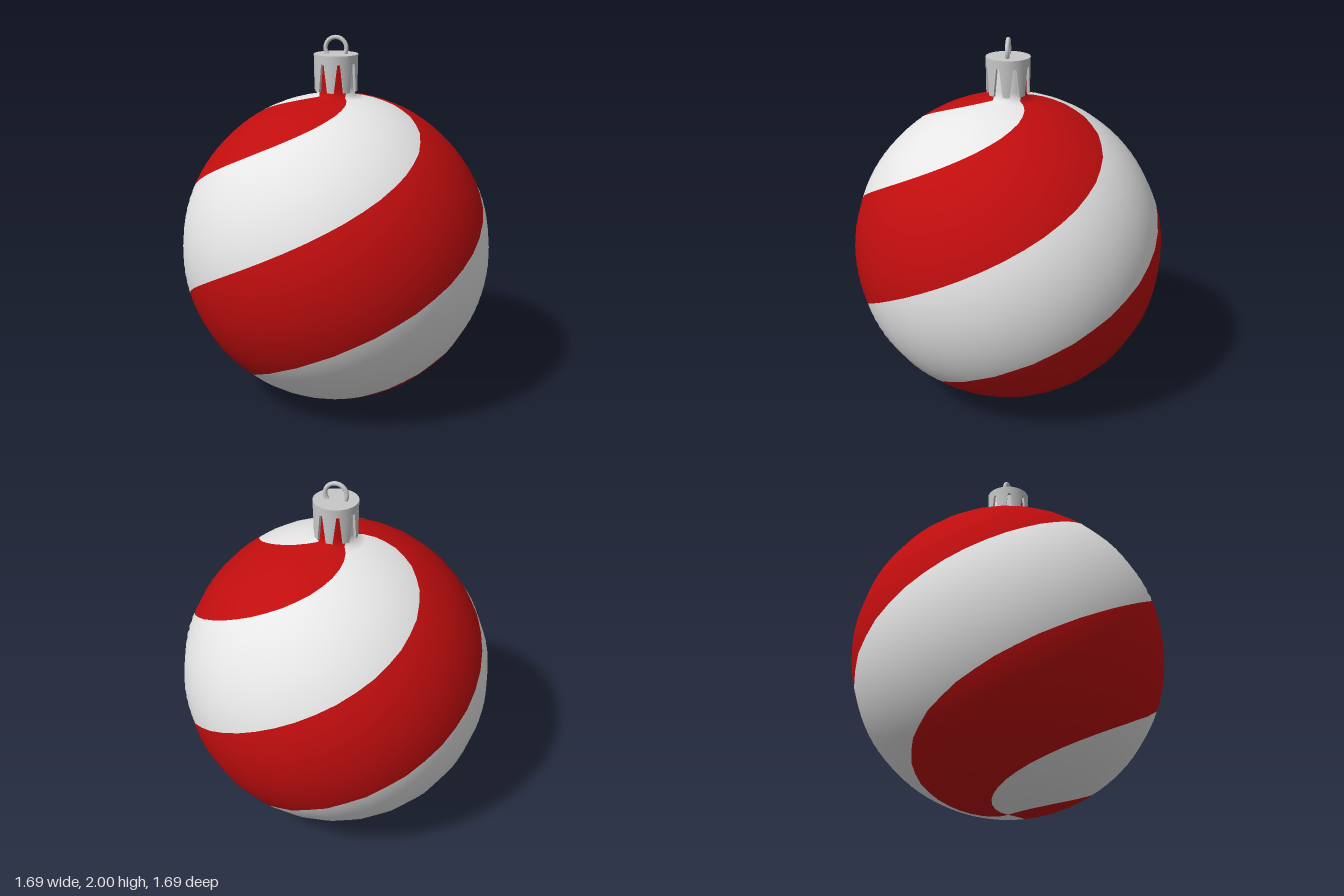
import * as THREE from 'three';

const R = 0.845;          // ball radius, also its centre height
const NECK_R = 0.1;
const SEG = Math.PI / 12; // the ball is a smooth-shaded 24-gon in plan
const rad = THREE.MathUtils.degToRad;

// Rows from the neck top down to the bottom pole: radius, height, twist and normal tilt
function ballRows() {
  const t0 = Math.asin(NECK_R / R), rows = [];
  const yJoin = R + R * Math.cos(t0);
  rows.push({ r: NECK_R, y: 1.88, twist: 0, nr: 1, ny: 0 });
  rows.push({ r: NECK_R, y: yJoin + 0.05, twist: t0, nr: 1, ny: 0 });
  rows.push({ r: NECK_R, y: yJoin, twist: 2 * t0, nr: 0.7, ny: 0.7 });
  const n = 48;
  for (let i = 1; i <= n; i++) {
    const t = t0 + (Math.PI - t0) * i / n;
    const s = Math.sin(t), c = Math.cos(t);
    rows.push({ r: R * s, y: R + R * c, twist: 2 * t, nr: s, ny: c });
  }
  return rows;
}

// One quarter-turn spiral stripe of the ball, starting at angle `start`
function stripeGeometry(start) {
  const cols = 24, pos = [], nor = [], idx = [];
  const rows = ballRows();
  rows.forEach((row, i) => {
    for (let j = 0; j <= cols; j++) {
      const a = start + row.twist + (Math.PI / 2) * j / cols;
      const off = a - (Math.floor(a / SEG) + 0.5) * SEG;
      const r = row.r * Math.cos(SEG / 2) / Math.cos(off);
      pos.push(r * Math.cos(a), row.y, r * Math.sin(a));
      nor.push(row.nr * Math.cos(a), row.ny, row.nr * Math.sin(a));
      if (i < rows.length - 1 && j < cols) {
        const p = i * (cols + 1) + j, q = p + cols + 1;
        idx.push(p, p + 1, q, q, p + 1, q + 1);
      }
    }
  });
  const g = new THREE.BufferGeometry();
  g.setAttribute('position', new THREE.Float32BufferAttribute(pos, 3));
  g.setAttribute('normal', new THREE.Float32BufferAttribute(nor, 3));
  g.setIndex(idx);
  g.normalizeNormals();
  return g;
}

// A cap tooth: a box bent around the y axis and tapered downward, centred on +z
function toothGeometry(yTop, yBottom) {
  const g = new THREE.BoxGeometry(1, 1, 1, 6, 1, 1);
  const p = g.attributes.position;
  for (let i = 0; i < p.count; i++) {
    const top = p.getY(i) > 0;
    const a = p.getX(i) * (top ? rad(37) : rad(18));
    const r = (p.getZ(i) > 0 ? 0.116 : 0.102) - (top ? 0 : 0.002);
    p.setXYZ(i, r * Math.sin(a), top ? yTop : yBottom, r * Math.cos(a));
  }
  g.computeVertexNormals();
  return g;
}

export function createModel() {
  const red = new THREE.MeshStandardMaterial({ color: 0xc00d0e });
  red.name = 'red';
  const white = new THREE.MeshStandardMaterial({ color: 0xe6e6e6 });
  white.name = 'white';
  const silver = new THREE.MeshStandardMaterial({ color: 0xc8c8c8 });
  silver.name = 'silver';

  const model = new THREE.Group();
  model.name = 'bauble';
  const add = (parent, name, geometry, material) => {
    const mesh = new THREE.Mesh(geometry, material);
    mesh.name = name;
    parent.add(mesh);
    return mesh;
  };

  // Ball with two red and two white spiral stripes
  const ball = new THREE.Group();
  ball.name = 'ball';
  model.add(ball);
  for (let k = 0; k < 4; k++) {
    const isRed = k % 2 === 0;
    add(ball, isRed ? 'redStripe' : 'whiteStripe', stripeGeometry(rad(33 + 90 * k)), isRed ? red : white);
  }

  // Metal cap: solid band with eight tapered teeth
  const cap = new THREE.Group();
  cap.name = 'cap';
  model.add(cap);
  add(cap, 'capBand', new THREE.CylinderGeometry(0.117, 0.116, 0.045, 32), silver).position.y = 1.88;
  const tooth = toothGeometry(1.858, 1.71);
  for (let k = 0; k < 8; k++) {
    add(cap, 'capTooth', tooth, silver).rotation.y = k * Math.PI / 4;
  }

  // Hanging ring
  add(model, 'hangingRing', new THREE.TorusGeometry(0.0565, 0.0115, 12, 32), silver).position.y = 1.932;

  return model;
}
